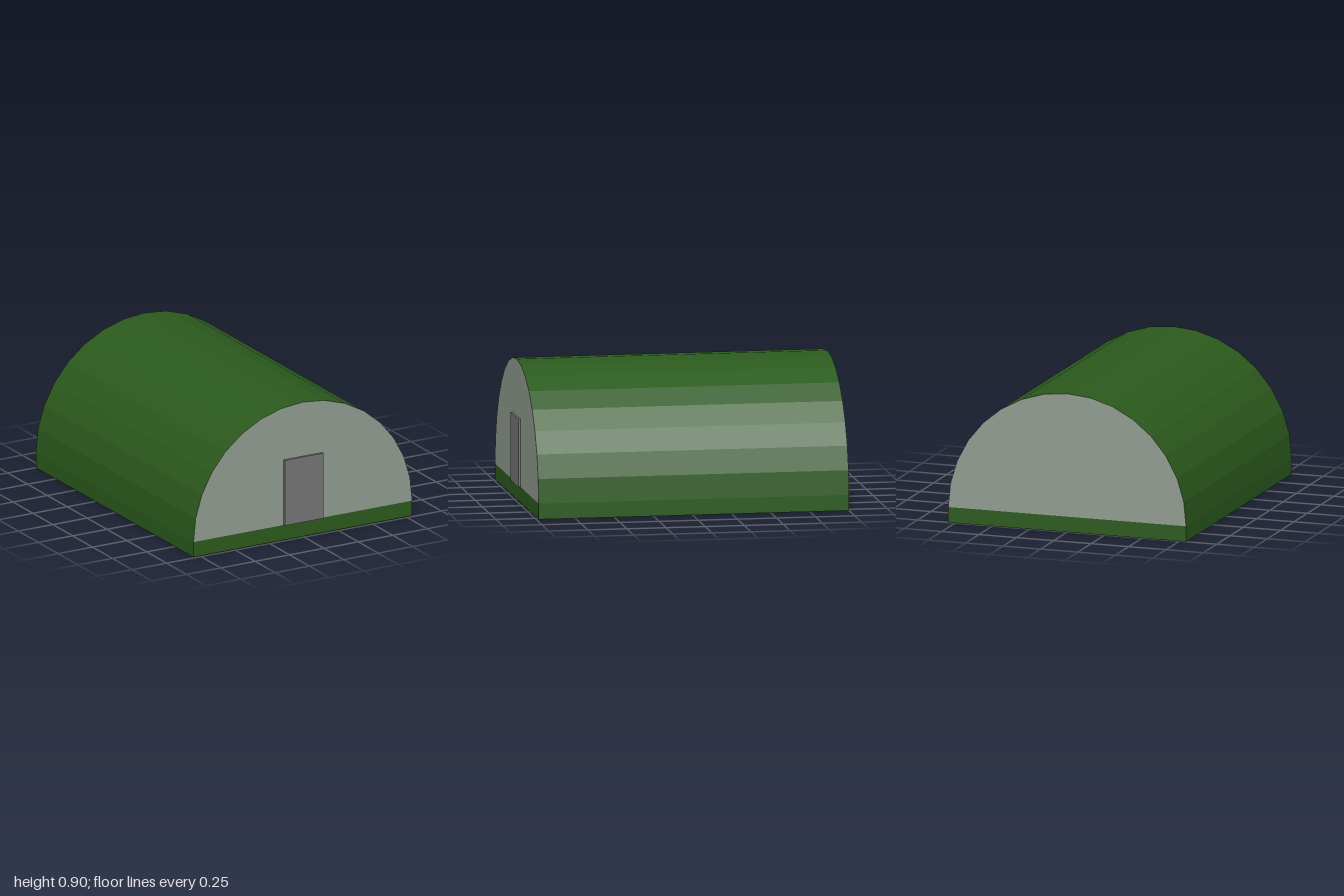
import * as THREE from 'three';

const RADIUS = 0.795, BASE = 0.1, BACK = -1, FRONT = 0.985, SIDES = 16;
const LENGTH = FRONT - BACK, MID = (FRONT + BACK) / 2;

export function createModel() {
  const group = new THREE.Group();
  const green = new THREE.MeshStandardMaterial({ color: 0x2b5a1d, flatShading: true });
  const wall = new THREE.MeshStandardMaterial({ color: 0x909c90 });
  const grey = new THREE.MeshStandardMaterial({ color: 0x757575 });

  const add = (name, geometry, material, x, y, z) => {
    const mesh = new THREE.Mesh(geometry, material);
    mesh.name = name;
    mesh.position.set(x, y, z);
    group.add(mesh);
    return mesh;
  };

  // Foundation slab
  add('foundation', new THREE.BoxGeometry(RADIUS * 2, BASE, LENGTH), green, 0, BASE / 2, MID);

  // Arched roof: the upper half of a faceted cylinder lying along z
  const roof = new THREE.CylinderGeometry(RADIUS, RADIUS, LENGTH, SIDES, 1, true, Math.PI / 2, Math.PI);
  roof.rotateX(Math.PI / 2);
  add('archedRoof', roof, green, 0, BASE, MID);

  // Half-round end walls
  const end = new THREE.CircleGeometry(RADIUS, SIDES, 0, Math.PI);
  add('frontWall', end, wall, 0, BASE, FRONT);
  add('backWall', end, wall, 0, BASE, BACK).rotation.y = Math.PI;

  // Door standing slightly proud of the front wall
  const doorHeight = 0.435, doorDepth = 0.03;
  add('door', new THREE.BoxGeometry(0.28, doorHeight, doorDepth), grey, 0, BASE + doorHeight / 2, 1 - doorDepth / 2);

  return group;
}
